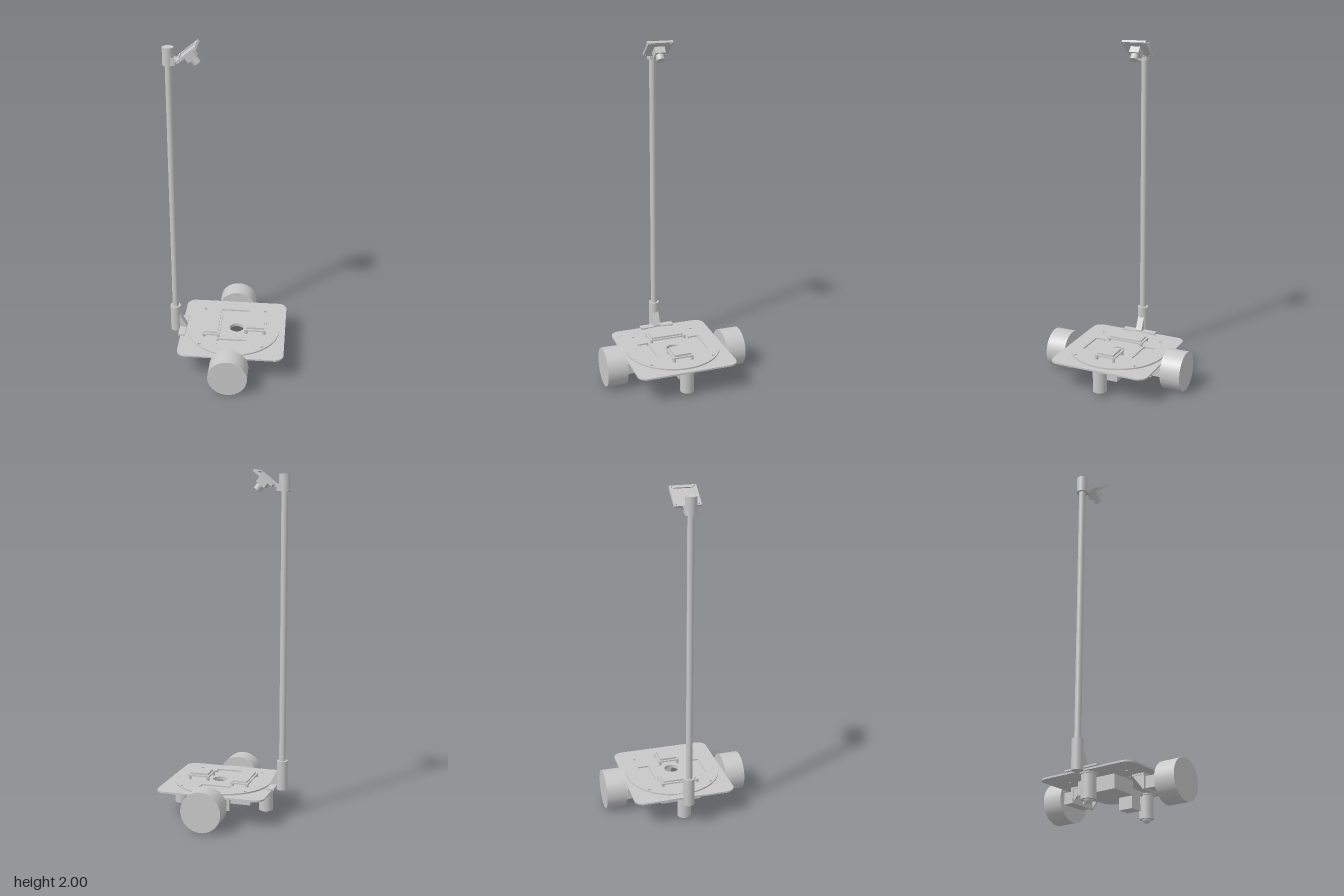
import * as THREE from 'three';

const grey = new THREE.MeshStandardMaterial({ color: 0xc8c8c8 });
grey.name = 'plain grey';

function add(parent, name, geometry, x = 0, y = 0, z = 0) {
  const mesh = new THREE.Mesh(geometry, grey);
  mesh.name = name;
  mesh.position.set(x, y, z);
  parent.add(mesh);
  return mesh;
}

// Box given by its lower and upper limits on each axis
function box(parent, name, x0, x1, y0, y1, z0, z1) {
  return add(parent, name, new THREE.BoxGeometry(x1 - x0, y1 - y0, z1 - z0),
    (x0 + x1) / 2, (y0 + y1) / 2, (z0 + z1) / 2);
}

function rod(parent, name, r, y0, y1, x, z) {
  return add(parent, name, new THREE.CylinderGeometry(r, r, y1 - y0, 40), x, (y0 + y1) / 2, z);
}

function rectPath(x0, x1, z0, z1) {
  return new THREE.Path([[x0, z0], [x0, z1], [x1, z1], [x1, z0]].map(p => new THREE.Vector2(...p)));
}

function circlePath(x, z, r) {
  return new THREE.Path().absarc(x, z, r, 0, Math.PI * 2, true);
}

// Flat plate lying on y0
function slab(parent, name, shape, holes, y0, y1) {
  shape.holes.push(...holes);
  const g = new THREE.ExtrudeGeometry(shape, { depth: y1 - y0, bevelEnabled: false, curveSegments: 32 });
  g.rotateX(-Math.PI / 2);
  return add(parent, name, g, 0, y0, 0);
}

// Upright plate with an outline in x-y, thick along z
function upright(parent, name, points, t) {
  const shape = new THREE.Shape(points.map(p => new THREE.Vector2(...p)));
  const g = new THREE.ExtrudeGeometry(shape, { depth: t, bevelEnabled: false });
  return add(parent, name, g, 0, 0, -t / 2);
}

function roundedRect(x0, x1, z0, z1, r) {
  const s = new THREE.Shape();
  s.absarc(x1 - r, z1 - r, r, 0, Math.PI / 2);
  s.absarc(x0 + r, z1 - r, r, Math.PI / 2, Math.PI);
  s.absarc(x0 + r, z0 + r, r, Math.PI, Math.PI * 1.5);
  s.absarc(x1 - r, z0 + r, r, Math.PI * 1.5, Math.PI * 2);
  s.closePath();
  return s;
}

export function createModel() {
  const model = new THREE.Group();
  model.name = 'mastRobot';

  // Base plate and raised disc, with shared through holes
  const through = () => {
    const holes = [circlePath(0.056, 0, 0.043)];
    for (const x of [-0.156, 0.226]) for (const z of [-0.192, 0.192]) holes.push(circlePath(x, z, 0.009));
    return holes;
  };
  slab(model, 'basePlate', roundedRect(-0.286, 0.357, -0.306, 0.306, 0.055),
    [...through(), rectPath(-0.055, -0.042, 0.128, 0.141), rectPath(-0.055, -0.042, -0.141, -0.128)], 0.163, 0.173);
  slab(model, 'turntableDisc', new THREE.Shape().absarc(0.036, 0, 0.287, 0, Math.PI * 2),
    [...through(), rectPath(-0.055, 0.126, 0.128, 0.196), rectPath(-0.055, 0.126, -0.196, -0.128)], 0.173, 0.182);

  // Wheels with axles, motors and gusseted brackets
  for (const s of [-1, 1]) {
    const side = new THREE.Group();
    side.name = s > 0 ? 'frontDrive' : 'backDrive';
    const span = (name, x0, x1, y0, y1, a, b) =>
      box(side, name, x0, x1, y0, y1, Math.min(s * a, s * b), Math.max(s * a, s * b));
    add(side, 'wheel', new THREE.CylinderGeometry(0.117, 0.117, 0.122, 64), 0.035, 0.117, s * 0.375).rotation.x = Math.PI / 2;
    add(side, 'axle', new THREE.CylinderGeometry(0.009, 0.009, 0.06, 20), 0.035, 0.117, s * 0.295).rotation.x = Math.PI / 2;
    span('motor', -0.06, 0.1, 0.08, 0.145, 0.245, 0.305);
    span('bracketWall', -0.075, 0.115, 0.075, 0.163, 0.232, 0.245);
    span('bracketFoot', -0.075, 0.115, 0.153, 0.163, 0.17, 0.245);
    for (const x of [-0.07, 0.015, 0.1]) {
      const g = new THREE.ExtrudeGeometry(new THREE.Shape([
        new THREE.Vector2(-0.17, 0.155), new THREE.Vector2(-0.236, 0.155), new THREE.Vector2(-0.236, 0.075)]),
      { depth: 0.01, bevelEnabled: false });
      g.rotateY(s * Math.PI / 2);
      add(side, 'bracketGusset', g, s > 0 ? x : x + 0.01, 0, 0);
    }
    model.add(side);
  }

  // Ball casters: hollow housing, flange and ball
  for (const x of [-0.228, 0.298]) {
    const profile = [[0.001, 0.163], [0.05, 0.163], [0.05, 0.155], [0.041, 0.155], [0.041, 0.022], [0.026, 0.022], [0.026, 0.05], [0.001, 0.05]];
    const pts = profile.reverse().flatMap(p => [new THREE.Vector2(...p), new THREE.Vector2(...p)]);
    add(model, 'casterHousing', new THREE.LatheGeometry(pts, 40), x);
    add(model, 'casterBall', new THREE.SphereGeometry(0.025, 24, 16), x, 0.025, 0);
  }

  // Battery and sensor under the plate
  box(model, 'battery', -0.165, 0, 0.077, 0.155, -0.122, 0.122);
  box(model, 'batteryPad', -0.15, -0.01, 0.155, 0.163, -0.11, 0.11);
  box(model, 'sensorBox', 0.13, 0.21, 0.05, 0.145, -0.068, 0.02);
  box(model, 'sensorMount', 0.12, 0.24, 0.142, 0.163, -0.068, 0.02);

  // Circuit boards on standoffs
  const board = (name, x0, x1, hz, y0, y1, y2, inset) => {
    const group = new THREE.Group();
    group.name = name;
    box(group, 'board', x0, x1, y0, y1, -hz, hz);
    box(group, 'cover', x0 + inset, x1 - inset, y1, y2, -hz + inset * 1.2, hz - inset * 1.2);
    for (const x of [x0 + 0.01, x1 - 0.01]) for (const z of [-hz + 0.01, hz - 0.01])
      rod(group, 'standoff', 0.01, 0.182, y0 + 0.004, x, z);
    model.add(group);
  };
  board('controlBoard', -0.149, -0.041, 0.116, 0.195, 0.203, 0.212, 0.012);
  board('driverBoard', 0.106, 0.238, 0.065, 0.203, 0.211, 0.223, 0.011);

  // Mast with bottom and top sockets
  rod(model, 'mastBase', 0.032, 0.155, 0.327, -0.325, 0);
  rod(model, 'mastPole', 0.019, 0.3, 1.9, -0.325, 0);
  rod(model, 'mastTopSocket', 0.032, 1.875, 1.975, -0.325, 0);
  box(model, 'mastFoot', -0.299, -0.257, 0.173, 0.183, -0.107, 0.107);
  upright(model, 'mastGusset', [[-0.31, 0.175], [-0.257, 0.175], [-0.257, 0.19], [-0.295, 0.265], [-0.31, 0.265]], 0.04);
  upright(model, 'cameraArm', [[-0.31, 1.878], [-0.285, 1.878], [-0.285, 1.9], [-0.255, 1.908], [-0.262, 1.916], [-0.285, 1.914], [-0.31, 1.925]], 0.056);

  // Tilted camera: framed board with a lens pointing down and forward
  const camera = new THREE.Group();
  camera.name = 'camera';
  camera.position.set(-0.217, 1.95, 0);
  camera.rotation.z = 0.68;
  const corners = [];
  for (const x of [-0.059, 0.059]) for (const z of [-0.062, 0.062]) corners.push(circlePath(x, z, 0.004));
  slab(camera, 'cameraBoard', roundedRect(-0.069, 0.069, -0.075, 0.075, 0.003), corners, -0.006, 0.002);
  slab(camera, 'cameraFrame', roundedRect(-0.069, 0.069, -0.075, 0.075, 0.003),
    [rectPath(-0.052, 0.052, -0.055, 0.055), ...corners], 0.002, 0.009);
  box(camera, 'lensBlock', -0.03, 0.03, -0.046, -0.006, -0.03, 0.03);
  rod(camera, 'lensBarrel', 0.024, -0.08, -0.046, 0, 0);
  model.add(camera);

  return model;
}
